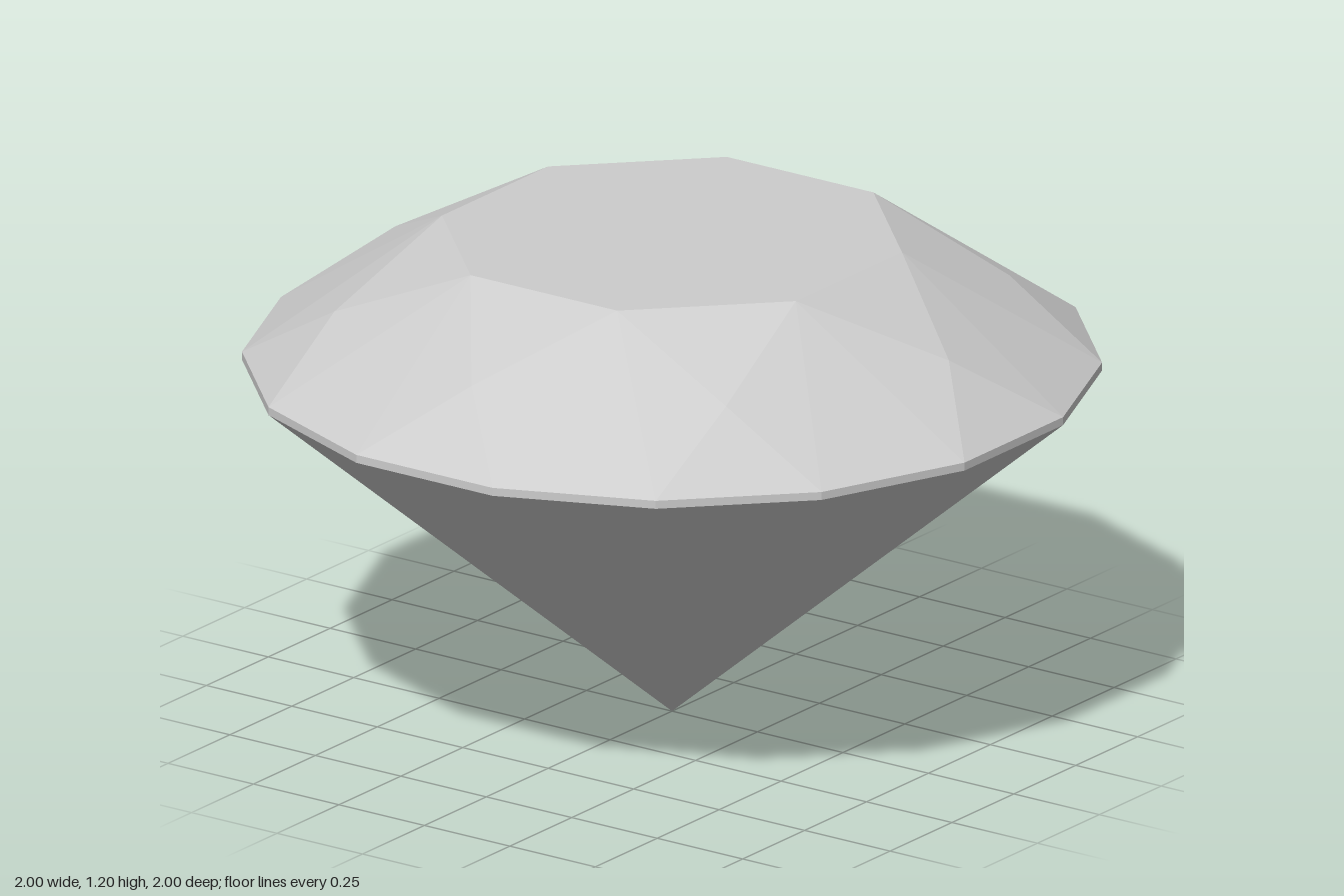
import * as THREE from 'three';

// Point on a ring: a is measured in sixteenths of a turn from the front (+z) towards +x
const ring = (r, y) => (a) => {
  const t = (a * Math.PI) / 8;
  return [r * Math.sin(t), y, r * Math.cos(t)];
};

const tableRim = ring(0.56, 1.2);
const starTip = ring(0.81, 1.05);
const girdleTop = ring(1.0196, 0.89);
const girdleBottom = ring(1.0196, 0.87);
const apex = [0, 0, 0];
const tableCentre = [0, 1.2, 0];

export function createModel() {
  const model = new THREE.Group();
  model.name = 'cutGem';
  const gemGrey = new THREE.MeshStandardMaterial({ color: 0xcccccc, flatShading: true });
  gemGrey.name = 'gem grey';

  // One mesh from a list of triangles, unshared corners for crisp facets
  const addFacets = (name, triangles) => {
    const geometry = new THREE.BufferGeometry();
    geometry.setAttribute('position', new THREE.Float32BufferAttribute(triangles.flat(2), 3));
    geometry.computeVertexNormals();
    const mesh = new THREE.Mesh(geometry, gemGrey);
    mesh.name = name;
    model.add(mesh);
  };

  const table = [], stars = [], mains = [], girdle = [], pavilion = [];

  // Crown: eight repeats around the axis
  for (let k = 0; k < 8; k++) {
    const a = 2 * k;
    const left = tableRim(a - 1), right = tableRim(a + 1);
    const tip = starTip(a), nextTip = starTip(a + 2);
    const g0 = girdleTop(a - 0.5), g1 = girdleTop(a + 0.5), g2 = girdleTop(a + 1.5);
    table.push([tableCentre, left, right]);
    stars.push([left, tip, right], [tip, g0, g1]);
    mains.push([right, tip, g1], [right, g1, g2], [right, g2, nextTip]);
  }

  // Girdle band and pavilion: sixteen repeats
  for (let k = 0; k < 16; k++) {
    const a = k - 0.5, b = k + 0.5;
    girdle.push(
      [girdleBottom(a), girdleBottom(b), girdleTop(b)],
      [girdleBottom(a), girdleTop(b), girdleTop(a)],
    );
    pavilion.push([apex, girdleBottom(b), girdleBottom(a)]);
  }

  addFacets('table', table);
  addFacets('starFacets', stars);
  addFacets('mainCrownFacets', mains);
  addFacets('girdle', girdle);
  addFacets('pavilion', pavilion);
  return model;
}
